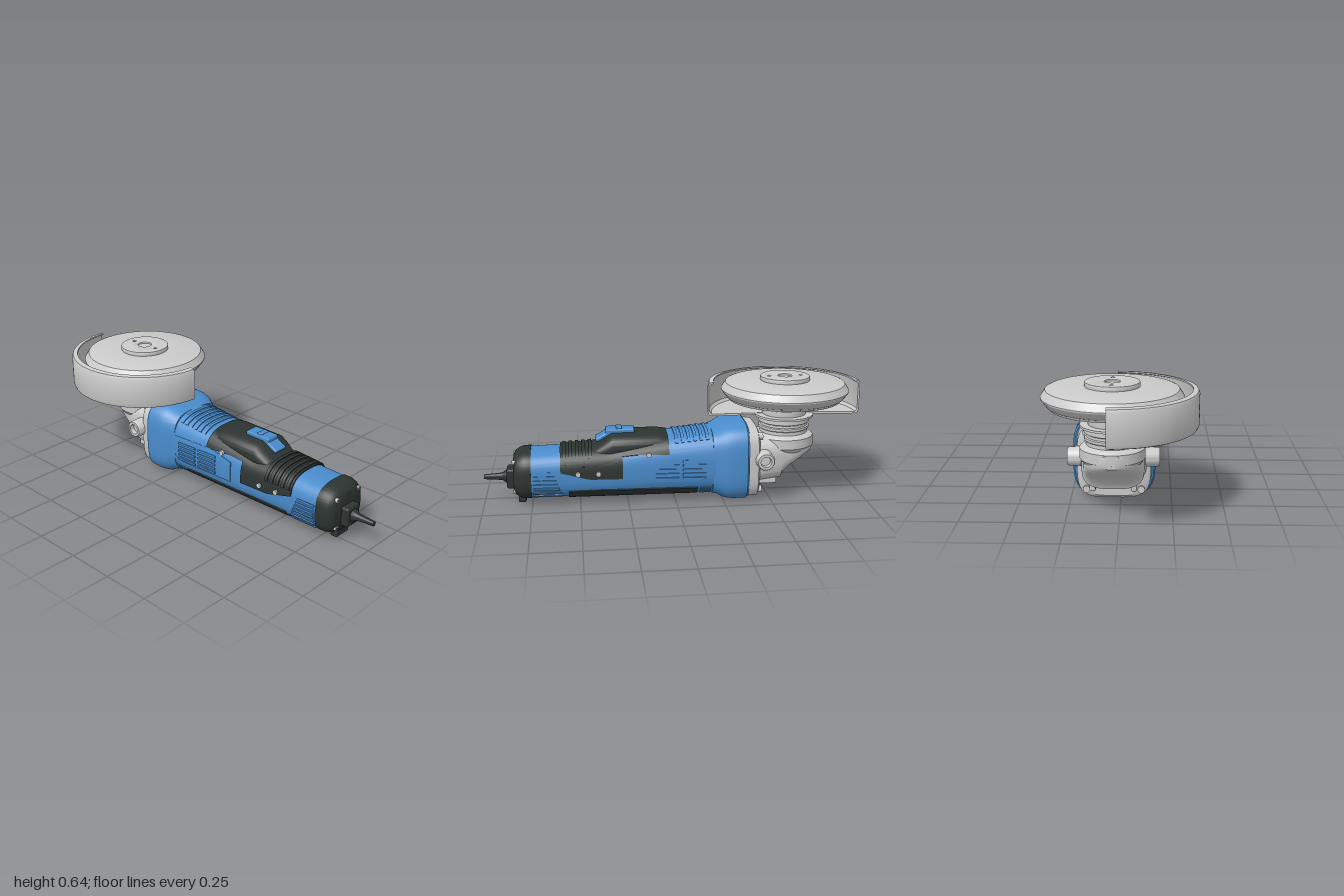
import * as THREE from 'three';
import { toCreasedNormals } from 'three/addons/utils/BufferGeometryUtils.js';
import { RoundedBoxGeometry } from 'three/addons/geometries/RoundedBoxGeometry.js';

const ZC = -0.035, HEAD_X = -0.59;
const grey = new THREE.MeshStandardMaterial({ color: 0xcccccc });
const greyThin = new THREE.MeshStandardMaterial({ color: 0xcccccc, side: THREE.DoubleSide });
const blue = new THREE.MeshStandardMaterial({ color: 0x4a8ccc });
const dark = new THREE.MeshStandardMaterial({ color: 0x2c3432 });

// Body sections: x, bottom, top, half width
const BODY = [[-0.22, 0.03, 0.378, 0.174], [0.05, 0.03, 0.352, 0.163], [0.35, 0.03, 0.302, 0.15],
  [0.6, 0.03, 0.287, 0.142], [0.76, 0.03, 0.283, 0.138]];
const N = 2.8;

const spow = (v, p) => Math.sign(v) * Math.abs(v) ** p;
// Point on a superellipse section, grown by d
function ring([x, lo, hi, hz], t, n, d = 0) {
  return [x, (lo + hi) / 2 + ((hi - lo) / 2 + d) * spow(Math.sin(t), 2 / n), ZC + (hz + d) * spow(Math.cos(t), 2 / n)];
}
function bodyAt(x) {
  let i = 0;
  while (i < BODY.length - 2 && x > BODY[i + 1][0]) i++;
  const a = BODY[i], b = BODY[i + 1], k = (x - a[0]) / (b[0] - a[0]);
  return a.map((v, j) => v + (b[j] - v) * k);
}
// Section angle on the +z side at height y
function angleAt(x, y) {
  const [, lo, hi] = bodyAt(x);
  const u = THREE.MathUtils.clamp((y - (lo + hi) / 2) / ((hi - lo) / 2), -1, 1);
  return Math.asin(spow(u, N / 2));
}
function build(pos, idx) {
  const g = new THREE.BufferGeometry();
  g.setAttribute('position', new THREE.Float32BufferAttribute(pos, 3));
  g.setIndex(idx);
  return toCreasedNormals(g, 0.6);
}
// Closed solid through sections along x
function loft(sections, n = N, seg = 96) {
  const pos = [], idx = [], last = sections.length - 1;
  sections.forEach((s) => {
    for (let j = 0; j < seg; j++) pos.push(...ring(s, (j / seg) * Math.PI * 2, n));
  });
  const c0 = pos.length / 3;
  for (const s of [sections[0], sections[last]]) pos.push(s[0], (s[1] + s[2]) / 2, ZC);
  for (let j = 0; j < seg; j++) {
    const k = (j + 1) % seg;
    for (let i = 0; i < last; i++) {
      const a = i * seg + j, b = a + seg, c = (i + 1) * seg + k, d = i * seg + k;
      idx.push(a, b, c, a, c, d);
    }
    idx.push(c0, j, k, c0 + 1, last * seg + k, last * seg + j);
  }
  return build(pos, idx);
}
// Raised panel following the body surface; range(x) gives start and end angles
function patch(x0, x1, range, d, nx = 8, na = 10) {
  const pos = [], idx = [], w = na + 3;
  for (let i = 0; i <= nx + 2; i++) {
    for (let j = 0; j <= na + 2; j++) {
      const rim = i === 0 || j === 0 || i === nx + 2 || j === na + 2;
      const x = x0 + (x1 - x0) * THREE.MathUtils.clamp((i - 1) / nx, 0, 1);
      const [a, b] = range(x), t = a + (b - a) * THREE.MathUtils.clamp((j - 1) / na, 0, 1);
      pos.push(...ring(bodyAt(x), t, N, rim ? -0.008 : d));
      if (i && j) {
        const q = i * w + j;
        idx.push(q - w - 1, q - 1, q, q - w - 1, q, q - w);
      }
    }
  }
  return build(pos, idx);
}
const over = (y) => (x) => { const a = angleAt(x, y(x)); return [a, Math.PI - a]; };
const side = (s, lo, hi) => (x) => {
  const a = angleAt(x, lo(x)), b = angleAt(x, hi(x));
  return s > 0 ? [a, b] : [Math.PI - b, Math.PI - a];
};

export function createModel() {
  const model = new THREE.Group();
  const add = (name, geo, mat, x = 0, y = 0, z = 0, parent = model) => {
    const m = new THREE.Mesh(geo, mat);
    m.name = name;
    m.position.set(x, y, z);
    parent.add(m);
    return m;
  };
  const lathe = (pts, ...args) =>
    toCreasedNormals(new THREE.LatheGeometry(pts.map((p) => new THREE.Vector2(...p)), 64, ...args), 0.5);

  // Motor housing and front collar
  add('motorHousing', loft(BODY), blue);
  add('frontCollar', loft([[-0.375, 0.008, 0.407, 0.197], [-0.365, 0, 0.415, 0.205], [-0.29, 0, 0.413, 0.205],
    [-0.255, 0.006, 0.404, 0.198], [-0.215, 0.025, 0.382, 0.178], [-0.19, 0.03, 0.375, 0.17]], 3.6), blue);

  // Soft grips
  add('bottomGrip', patch(-0.11, 0.56, (x) => {
    const a = angleAt(x, 0.088 - 0.02 * Math.max(0, x - 0.4));
    return [-Math.PI - a, a];
  }, 0.005, 24, 40), dark);
  add('rearGrip', patch(0.28, 0.6, over((x) => 0.15 + Math.max(0, x - 0.45) * 0.25), 0.006, 16, 50), dark);
  add('switchSurround', patch(0.04, 0.4, over((x) => 0.27 - 0.1 * Math.max(0, x - 0.2)), 0.006, 16, 40), dark);
  add('switchBase', loft([[0.03, 0.2, 0.345, 0.1], [0.05, 0.2, 0.36, 0.12], [0.09, 0.2, 0.366, 0.125],
    [0.33, 0.2, 0.364, 0.125], [0.36, 0.2, 0.345, 0.122], [0.42, 0.2, 0.3, 0.11]], 3), dark);
  for (let i = 0; i < 5; i++) {
    const x = 0.435 + i * 0.034;
    add('gripRib', patch(x, x + 0.018, over(() => 0.215), 0.012, 2, 40), dark);
  }
  for (let i = 0; i < 6; i++) {
    const x = -0.17 + i * 0.032;
    add('topRib', patch(x, x + 0.016, over((v) => bodyAt(v)[2] - 0.035), 0.005, 2, 30), blue);
  }

  // Vents, ribs and screws on both sides
  for (const s of [1, -1]) {
    add('ventPanel', patch(-0.18, 0.21, side(s, (x) => 0.13 + Math.max(0, -x - 0.12) * 0.4,
      (x) => 0.27 - Math.max(0, x - 0.08) * 0.25), 0.005, 16, 16), blue);
    for (let r = 0; r < 5; r++) {
      const y = 0.143 + r * 0.022;
      for (const x of [-0.15, -0.01]) {
        add('ventSlat', patch(x, x + 0.12, side(s, () => y, () => y + 0.011), 0.011, 6, 2), blue);
      }
    }
    for (let r = 0; r < 7; r++) {
      const y = 0.055 + r * 0.021;
      add('rearVentSlat', patch(0.59 + r * 0.008, 0.74, side(s, () => y, () => y + 0.011), 0.006, 4, 2), blue);
    }
    for (let i = 0; i < 4; i++) {
      const x = -0.18 + i * 0.016;
      add('lowerVentSlat', patch(x, x + 0.008, side(s, () => 0.04, () => 0.088), 0.005, 2, 8), blue);
    }
    for (const [x, y] of [[0.145, 0.272], [0.405, 0.18], [0.51, 0.18]]) {
      const p = ring(bodyAt(x), angleAt(x, y), N);
      add('sideScrew', new THREE.CylinderGeometry(0.013, 0.013, 0.03, 20), grey, x, y, ZC + s * (p[2] - ZC))
        .rotation.x = Math.PI / 2;
    }
  }

  // Sliding switch
  add('switchButton', new RoundedBoxGeometry(0.15, 0.03, 0.08, 3, 0.008), blue, 0.285, 0.368, ZC);
  add('switchRidge', new RoundedBoxGeometry(0.03, 0.02, 0.06, 3, 0.006), blue, 0.29, 0.38, ZC);
  add('switchLip', new RoundedBoxGeometry(0.09, 0.02, 0.08, 3, 0.007), blue, 0.372, 0.345, ZC).rotation.z = -0.5;

  // Rear cap with screws, hook and cord
  add('rearCap', loft([[0.75, 0.028, 0.288, 0.143], [0.785, 0.028, 0.288, 0.142], [0.81, 0.034, 0.28, 0.135],
    [0.83, 0.046, 0.266, 0.122], [0.841, 0.062, 0.25, 0.106]]), dark);
  for (const y of [0.08, 0.235]) {
    for (const z of [0.085, -0.085]) {
      const screw = add('capScrew', new THREE.CylinderGeometry(0.012, 0.012, 0.04, 20), grey, 0.825, y, ZC + z);
      screw.rotation.z = -Math.PI / 2;
      for (const k of [0, Math.PI / 2]) {
        add('screwSlot', new THREE.BoxGeometry(0.016, 0.002, 0.004), dark, 0, 0.02, 0, screw).rotation.y = k;
      }
    }
  }
  add('cordMount', new RoundedBoxGeometry(0.07, 0.105, 0.1, 3, 0.012), dark, 0.845, 0.132, ZC);
  add('cableHook', new RoundedBoxGeometry(0.04, 0.1, 0.1, 3, 0.008), dark, 0.802, 0.052, ZC);
  add('cord', lathe([[0.035, 0.86], [0.033, 0.885], [0.022, 0.9], [0.019, 0.91], [0.012, 0.999], [0, 1]]),
    dark, 0, 0.135, ZC).rotation.z = -Math.PI / 2;

  // Gear housing
  add('gearFlange', loft([[-0.435, 0.025, 0.375, 0.165], [-0.425, 0.012, 0.392, 0.182], [-0.36, 0.01, 0.4, 0.19]], 4), grey);
  add('gearHousing', loft([[-0.745, 0.258, 0.325, 0.04], [-0.72, 0.235, 0.332, 0.085], [-0.66, 0.2, 0.338, 0.125],
    [-0.6, 0.16, 0.34, 0.14], [-0.565, 0.125, 0.34, 0.145], [-0.555, 0.1, 0.34, 0.15], [-0.41, 0.085, 0.345, 0.165]], 3.2), grey);
  add('gearTurret', lathe([[0, 0.24], [0.13, 0.24], [0.152, 0.27], [0.156, 0.275], [0.156, 0.325], [0.145, 0.335],
    [0.126, 0.342], [0.126, 0.36], [0.133, 0.365], [0.133, 0.378], [0.126, 0.382], [0.126, 0.395], [0.135, 0.4],
    [0.135, 0.424], [0.155, 0.426], [0.155, 0.437], [0, 0.437]]), grey, HEAD_X, 0, ZC);
  for (const s of [1, -1]) {
    const boss = add('handleBoss', lathe([[0.05, 0], [0.047, 0.215], [0.042, 0.225], [0.028, 0.225], [0.026, 0.2], [0, 0.2]]),
      grey, -0.455, 0.234, ZC);
    boss.rotation.x = s * Math.PI / 2;
    for (const y of [0.06, 0.35]) {
      add('flangeBolt', new THREE.CylinderGeometry(0.018, 0.018, 0.05, 20), grey, -0.425, y, ZC + s * 0.135)
        .rotation.z = Math.PI / 2;
    }
    add('housingRib', new RoundedBoxGeometry(0.11, 0.07, 0.03, 2, 0.008), grey, -0.48, 0.115, ZC + s * 0.1);
  }

  // Spindle, grinding disc and clamping nut
  add('spindle', lathe([[0.115, 0.435], [0.117, 0.445], [0.117, 0.468], [0.11, 0.473], [0.065, 0.475], [0.05, 0.482],
    [0.05, 0.505], [0.06, 0.512], [0.06, 0.535], [0.04, 0.54], [0.04, 0.632], [0, 0.632]]), grey, HEAD_X, 0, ZC);
  add('grindingDisc', lathe([[0, 0.515], [0.09, 0.515], [0.1, 0.528], [0.18, 0.528], [0.19, 0.52], [0.295, 0.517],
    [0.3, 0.527], [0.31, 0.532], [0.335, 0.565], [0.336, 0.572], [0.313, 0.607], [0.3, 0.612], [0.14, 0.618], [0, 0.618]]),
  grey, HEAD_X, 0, ZC);
  const nut = new THREE.Shape().absarc(0, 0, 0.127, 0, Math.PI * 2);
  for (const [x, r] of [[0, 0.04], [0.085, 0.012], [-0.085, 0.012]]) {
    nut.holes.push(new THREE.Path().absarc(x, 0, r, 0, Math.PI * 2, true));
  }
  const nutGeo = new THREE.ExtrudeGeometry(nut, { depth: 0.024, bevelSize: 0.003, bevelThickness: 0.003, bevelSegments: 2, curveSegments: 48 });
  add('clampingNut', toCreasedNormals(nutGeo, 0.6), grey, HEAD_X, 0.613, ZC).rotation.x = -Math.PI / 2;

  // Half-round wheel guard with closed ends
  const guard = new THREE.Group();
  guard.name = 'wheelGuard';
  guard.position.set(HEAD_X, 0, ZC);
  guard.rotation.y = -0.035;
  model.add(guard);
  const section = [[0.11, 0.428], [0.385, 0.424], [0.4, 0.43], [0.406, 0.445], [0.406, 0.59], [0.4, 0.604],
    [0.375, 0.608], [0.375, 0.6], [0.394, 0.594], [0.397, 0.585], [0.397, 0.45], [0.385, 0.435], [0.11, 0.438]];
  add('guardShell', lathe([...section, section[0]], -Math.PI / 2, Math.PI), greyThin, 0, 0, 0, guard);
  const endShape = new THREE.Shape(section.map((p) => new THREE.Vector2(...p)));
  for (const a of [0, -Math.PI]) {
    add('guardEnd', new THREE.ShapeGeometry(endShape), greyThin, 0, 0, 0, guard).rotation.y = a;
  }
  return model;
}
